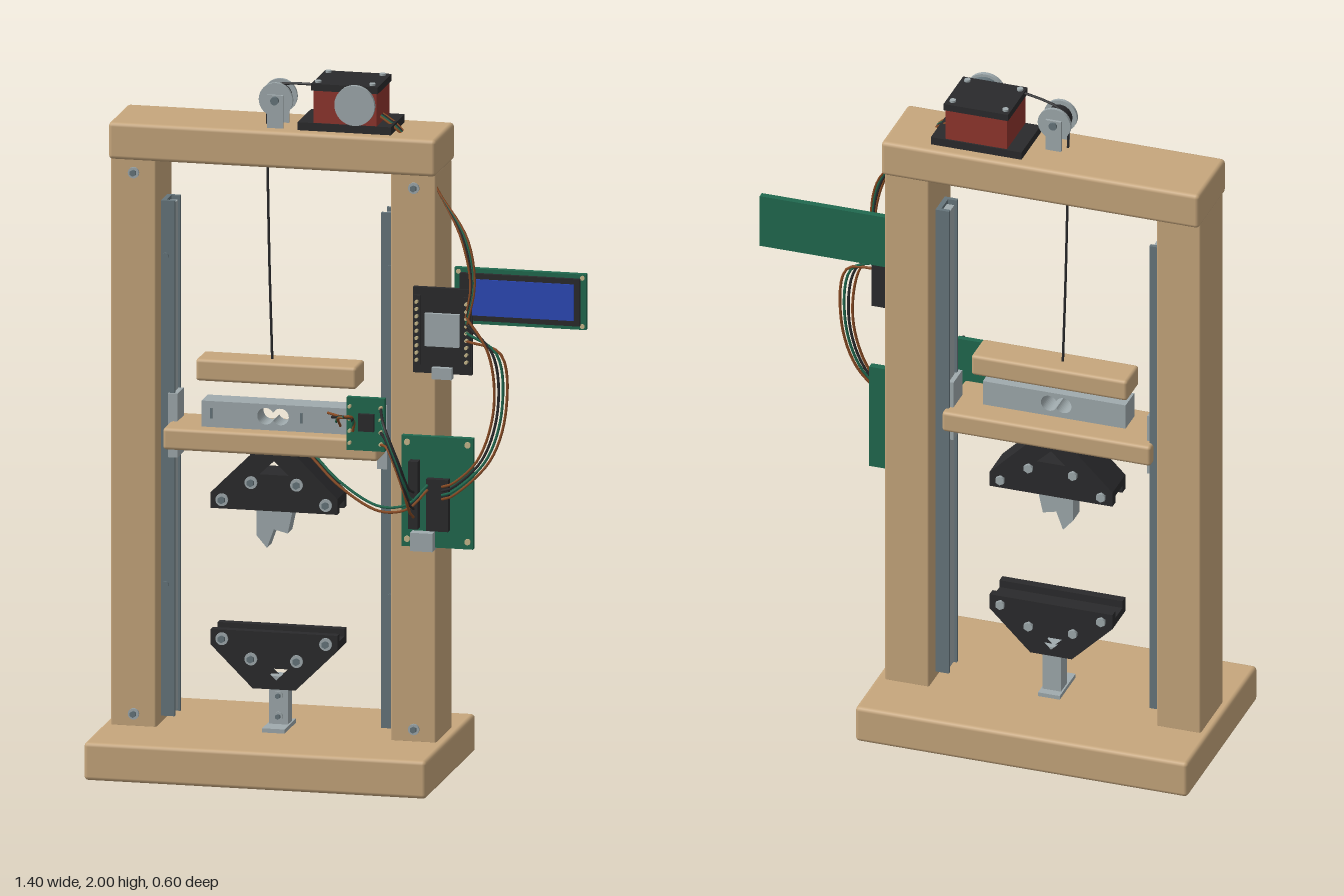
import * as THREE from 'three';
import { RoundedBoxGeometry } from 'three/addons/geometries/RoundedBoxGeometry.js';

const material = (name, color) => {
  const m = new THREE.MeshStandardMaterial({ color });
  m.name = name;
  return m;
};

export function createModel() {
  const model = new THREE.Group();
  model.name = 'testRig';
  const wood = material('wood', 0xc6a67c);
  const steel = material('light steel', 0x9faaad);
  const darkSteel = material('dark steel', 0x66757b);
  const black = material('black', 0x2a2a2c);
  const red = material('motor red', 0x8f352d);
  const green = material('board green', 0x20694f);
  const blue = material('screen blue', 0x2c49b8);
  const orange = material('orange wire', 0x8a4c24);
  const gold = material('pin gold', 0xc8b98c);

  const add = (name, geometry, mat, parent = model) => {
    const mesh = new THREE.Mesh(geometry, mat);
    mesh.name = name;
    parent.add(mesh);
    return mesh;
  };
  // Boxes are given by their limits on each axis
  const box = (name, mat, [x0, x1], [y0, y1], [z0, z1], radius = 0) => {
    const s = [x1 - x0, y1 - y0, z1 - z0];
    const g = radius ? new RoundedBoxGeometry(...s, 2, radius) : new THREE.BoxGeometry(...s);
    return add(name, g.translate((x0 + x1) / 2, (y0 + y1) / 2, (z0 + z1) / 2), mat);
  };
  // Disc or rod along z
  const disc = (name, mat, x, y, z0, z1, r, sides = 24) =>
    add(name, new THREE.CylinderGeometry(r, r, z1 - z0, sides).rotateX(Math.PI / 2)
      .translate(x, y, (z0 + z1) / 2), mat);
  const bolt = (x, y, z, r = 0.016) => {
    disc('washer', steel, x, y, z, z + 0.006, r);
    disc('boltHead', darkSteel, x, y, z + 0.006, z + 0.014, r * 0.6, 6);
  };
  const outline = (pts) => new THREE.Shape(pts.map((p) => new THREE.Vector2(...p)));
  const plate = (name, mat, shape, z0, z1) =>
    add(name, new THREE.ExtrudeGeometry(shape, { depth: z1 - z0, bevelEnabled: false, curveSegments: 16 })
      .translate(0, 0, z0), mat);
  const wire = (name, mat, pts, r = 0.004) =>
    add(name, new THREE.TubeGeometry(
      new THREE.CatmullRomCurve3(pts.map((p) => new THREE.Vector3(...p))), 28, r, 6), mat);

  // Wooden frame
  box('base', wood, [-0.70, 0.29], [0, 0.11], [-0.30, 0.30], 0.012);
  box('postRight', wood, [-0.677, -0.545], [0.105, 1.755], [-0.12, 0.07], 0.006);
  box('postLeft', wood, [0.132, 0.264], [0.105, 1.755], [-0.12, 0.07], 0.006);
  box('topBeam', wood, [-0.68, 0.267], [1.748, 1.855], [-0.145, 0.088], 0.012);
  for (const x of [-0.61, 0.2]) for (const y of [0.145, 1.71]) bolt(x, y, 0.07);

  // Slide rails on the inner faces of the posts, with carriages
  for (const [x, d] of [[-0.545, 1], [0.132, -1]]) {
    const span = (a, b) => [x + d * a, x + d * b].sort((p, q) => p - q);
    box('railBack', darkSteel, span(0, 0.014), [0.13, 1.62], [-0.065, 0.015]);
    for (const z of [-0.065, 0.003]) box('railLip', darkSteel, span(0.01, 0.04), [0.13, 1.62], [z, z + 0.012]);
    box('railCore', steel, span(0.014, 0.036), [0.14, 1.61], [-0.043, -0.007]);
    box('carriage', steel, span(0.022, 0.05), [0.88, 1.065], [-0.055, 0.022]);
    for (const y of [0.51, 1.46]) disc('railScrew', darkSteel, x + d * 0.014, y, 0.015, 0.022, 0.01, 10);
  }

  // Moving crosshead with load cell
  box('crosshead', wood, [-0.517, 0.105], [0.922, 0.985], [-0.09, 0.11], 0.01);
  box('upperBlock', wood, [-0.44, 0.025], [1.108, 1.172], [-0.07, 0.035], 0.01);
  const cell = outline([[-0.415, 0.985], [0.01, 0.985], [0.01, 1.06], [-0.415, 1.06]]);
  const slot = new THREE.Path();
  slot.absarc(-0.23, 1.025, 0.024, 0.5, Math.PI * 2 - 0.5, false);
  slot.absarc(-0.187, 1.025, 0.024, Math.PI + 0.5, Math.PI * 3 - 0.5, false);
  slot.closePath();
  cell.holes.push(slot);
  plate('loadCell', steel, cell, -0.01, 0.065);
  for (const x of [-0.39, -0.13]) box('cellMark', darkSteel, [x, x + 0.006], [1.01, 1.04], [0.065, 0.068]);

  // Grip jaws: layered plates, the upper one mirrored
  const cx = -0.207;
  const jaw = (name, y, d) => {
    const at = ([u, v]) => [cx + u, y + d * v];
    const layers = [[-0.05, -0.025, 0], [-0.025, 0.035, 0.022], [0.035, 0.06, 0]];
    for (const [z0, z1, drop] of layers) {
      const shape = outline([[-0.183, drop], [0.183, drop], [0.183, 0.045], [0.062, 0.165],
        [-0.062, 0.165], [-0.183, 0.045]].map(at));
      shape.holes.push(new THREE.Path([[-0.042, 0.105], [0.042, 0.105], [0, 0.145]]
        .map((p) => new THREE.Vector2(...at(p)))));
      plate(name, black, shape, z0, z1);
    }
    for (const s of [-1, 1]) for (const [u, v] of [[0.15, 0.026], [0.066, 0.08]]) {
      bolt(cx + s * u, y + d * v, 0.06, 0.018);
      disc('jawNut', steel, cx + s * u, y + d * v, -0.06, -0.05, 0.014, 6);
    }
  };
  jaw('upperJaw', 0.75, 1);
  jaw('lowerJaw', 0.40, -1);
  box('upperJawMount', black, [cx - 0.07, cx + 0.07], [0.905, 0.924], [-0.045, 0.055]);

  // Broken specimen and lower anchor
  plate('specimen', steel, outline([[-0.265, 0.80], [-0.265, 0.67], [-0.235, 0.635], [-0.215, 0.69],
    [-0.175, 0.68], [-0.16, 0.75], [-0.16, 0.80]]), -0.028, 0.028);
  box('anchorFoot', steel, [-0.24, -0.175], [0.11, 0.122], [-0.07, 0.065]);
  box('anchorPost', steel, [-0.235, -0.18], [0.12, 0.26], [-0.045, 0.005]);
  bolt(cx, 0.145, 0.005, 0.013);
  bolt(cx, 0.205, 0.005, 0.013);

  // Motor and drum
  box('motorBase', black, [-0.14, 0.13], [1.855, 1.878], [-0.11, 0.055]);
  box('motorBody', red, [-0.095, 0.088], [1.878, 1.975], [-0.105, 0.052]);
  box('motorCap', black, [-0.1, 0.092], [1.972, 1.992], [-0.11, 0.057]);
  for (const x of [-0.085, 0.072]) for (const z of [-0.088, 0.036])
    add('capScrew', new THREE.CylinderGeometry(0.009, 0.009, 0.008, 12).translate(x, 1.994, z), steel);
  disc('motorDrum', darkSteel, 0.032, 1.942, 0.05, 0.075, 0.05);
  disc('drumFace', steel, 0.032, 1.942, 0.075, 0.088, 0.058, 32);

  // Guide pulley on its bracket
  disc('pulleyCore', black, -0.207, 1.935, -0.02, 0.036, 0.036);
  for (const z of [-0.024, 0.03]) disc('pulleyFlange', steel, -0.207, 1.935, z, z + 0.01, 0.049, 32);
  for (const z of [-0.032, 0.04]) box('pulleyBracket', steel, [-0.23, -0.184], [1.855, 1.95], [z, z + 0.008]);
  disc('pulleyAxle', darkSteel, -0.207, 1.935, -0.038, 0.058, 0.012, 12);
  wire('cord', black, [[0.03, 1.985, 0.06], [-0.1, 1.985, 0.035], [-0.2, 1.975, 0.012], [-0.235, 1.955, 0.005],
    [-0.24, 1.86, 0], [-0.238, 1.5, -0.01], [-0.23, 1.17, -0.015]]);

  // Display
  box('displayBoard', green, [0.32, 0.70], [1.33, 1.49], [0.063, 0.082]);
  box('displayFrame', black, [0.338, 0.685], [1.342, 1.478], [0.082, 0.094]);
  box('displayScreen', blue, [0.375, 0.668], [1.358, 1.463], [0.094, 0.098]);
  for (const x of [0.332, 0.69]) for (const y of [1.34, 1.48]) disc('displayScrew', gold, x, y, 0.08, 0.086, 0.007, 10);

  // Wireless controller
  box('controllerBoard', black, [0.205, 0.375], [1.185, 1.432], [0.085, 0.1]);
  box('controllerShield', steel, [0.24, 0.34], [1.265, 1.36], [0.1, 0.112]);
  box('controllerPort', steel, [0.262, 0.32], [1.172, 1.205], [0.095, 0.118]);
  for (const x of [0.218, 0.362]) {
    box('controllerHeader', black, [x - 0.01, x + 0.01], [1.21, 1.41], [0.098, 0.108]);
    for (let i = 0; i < 9; i++) disc('controllerPin', gold, x, 1.225 + i * 0.021, 0.1, 0.122, 0.005, 6);
  }

  // Main control board
  box('mainBoard', green, [0.168, 0.375], [0.678, 0.998], [0.067, 0.088]);
  box('mainHeaderStrip', black, [0.195, 0.222], [0.735, 0.93], [0.088, 0.118]);
  box('mainChip', black, [0.245, 0.308], [0.73, 0.88], [0.088, 0.11]);
  box('mainPort', steel, [0.2, 0.265], [0.672, 0.725], [0.07, 0.12]);
  for (const x of [0.185, 0.36]) for (const y of [0.7, 0.98]) disc('mainScrew', gold, x, y, 0.088, 0.094, 0.009, 10);

  // Amplifier board
  box('amplifierBoard', green, [0.02, 0.13], [0.957, 1.11], [0.113, 0.13]);
  box('amplifierChip', black, [0.055, 0.1], [1.015, 1.065], [0.13, 0.142]);
  for (const x of [0.03, 0.12])
    for (let i = 0; i < 4; i++) disc('amplifierPin', gold, x, 0.98 + i * 0.035, 0.13, 0.146, 0.005, 6);

  // Wire bundles
  const wireMats = [orange, black, green, orange];
  wireMats.forEach((m, i) => {
    const o = i * 0.012;
    wire('cellWire', m, [[-0.05 + o, 1.045 - o, 0.065], [0, 1.05, 0.12 + o / 2], [0.045, 1.068 - o / 2, 0.19 - o],
      [0.04, 1.05 - o, 0.14]]);
    wire('amplifierWire', i % 2 ? black : m, [[0.12, 0.98 + i * 0.035, 0.14], [0.15, 0.98 + 2 * o, 0.185 + o],
      [0.195, 0.88 + 2 * o, 0.2 + o], [0.21, 0.8 + 2 * o, 0.17 + o / 2], [0.21, 0.77 + 2 * o, 0.118]]);
    wire('displayWire', m, [[0.36, 1.36 - 2 * o, 0.118], [0.43 + o, 1.26, 0.135], [0.445 + o, 1.1, 0.13],
      [0.40 + o, 0.95, 0.135], [0.33, 0.88 - o, 0.14], [0.29, 0.86 - o, 0.108]]);
    wire('motorWire', m, [[0.08, 1.9, -0.03 + o], [0.13, 1.87, -0.02 + o], [0.2, 1.8, 0.02], [0.27, 1.7, 0.06],
      [0.345 + o / 2, 1.58, 0.105], [0.375 + o / 3, 1.45, 0.118], [0.362, 1.36 - o, 0.118]], 0.0035);
  });
  for (const [m, o] of [[orange, 0], [green, 0.014]])
    wire('crossheadWire', m, [[-0.09 + o, 0.925, 0.1], [0, 0.85 + o, 0.13], [0.12, 0.79 + o, 0.15],
      [0.2, 0.8 + o, 0.15], [0.25, 0.85 + o, 0.112]]);

  // Centre between the right edge of the display and the left edge of the base
  return model;
}
